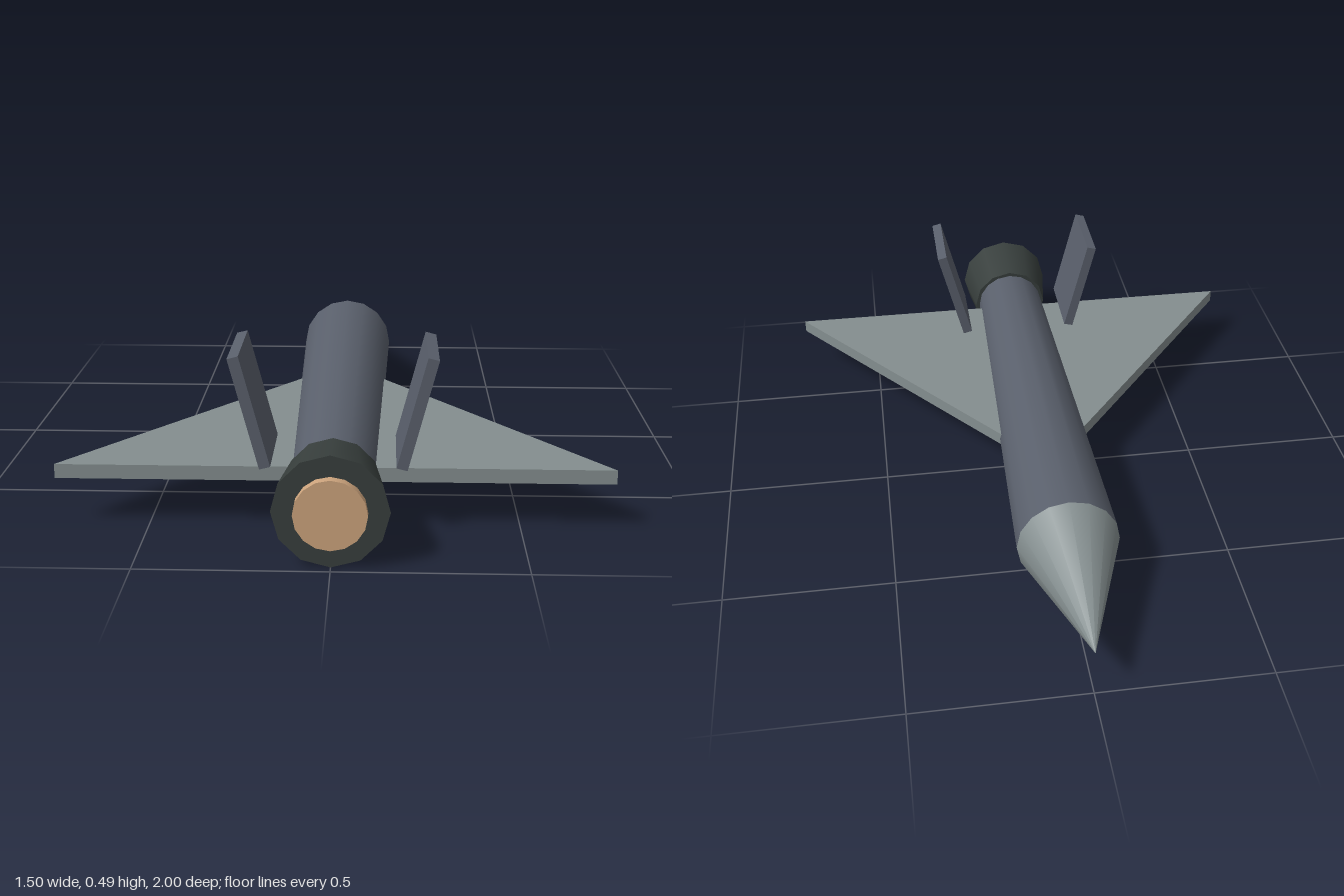
import * as THREE from 'three';

const AXIS_Y = 0.15;

function material(name, color) {
  const m = new THREE.MeshStandardMaterial({ color });
  m.name = name;
  return m;
}

export function createModel() {
  const slate = material('slate', 0x5a606c);
  const paleGrey = material('pale grey', 0x848e8f);
  const charcoal = material('charcoal', 0x383f3d);
  const amber = material('amber', 0xcda47d);

  const group = new THREE.Group();
  const add = (name, geometry, mat) => {
    const mesh = new THREE.Mesh(geometry, mat);
    mesh.name = name;
    group.add(mesh);
    return mesh;
  };

  // Round section along z, from zA (radius rA) to zB (radius rB)
  const section = (name, mat, zA, rA, zB, rB, sides) => {
    const geometry = new THREE.CylinderGeometry(rB, rA, zB - zA, sides);
    geometry.rotateX(Math.PI / 2);
    add(name, geometry, mat).position.set(0, AXIS_Y, (zA + zB) / 2);
  };
  section('noseCone', paleGrey, -1, 0, -0.565, 0.15, 16);
  section('fuselage', slate, -0.565, 0.15, 0.8, 0.112, 16);
  section('nozzle', charcoal, 0.785, 0.125, 0.975, 0.15, 12);
  section('exhaustGlow', amber, 0.93, 0.094, 1, 0.094, 16);

  for (const side of [1, -1]) {
    const label = side > 0 ? 'left' : 'right';

    // Delta wing: flat triangle whose root is buried in the fuselage
    const outline = new THREE.Shape([
      new THREE.Vector2(side * 0.08, -0.115),
      new THREE.Vector2(side * 0.75, 0.725),
      new THREE.Vector2(side * 0.08, 0.725),
    ]);
    const wing = new THREE.ExtrudeGeometry(outline, { depth: 0.04, bevelEnabled: false });
    wing.rotateX(Math.PI / 2);
    add(label + 'Wing', wing, paleGrey).position.y = AXIS_Y + 0.02;

    // Tail fin leaning outward
    const fin = add(label + 'TailFin', new THREE.BoxGeometry(0.03, 0.31, 0.25), slate);
    fin.position.set(side * 0.218, 0.34, 0.663);
    fin.rotation.z = -side * THREE.MathUtils.degToRad(14.5);
  }

  return group;
}
